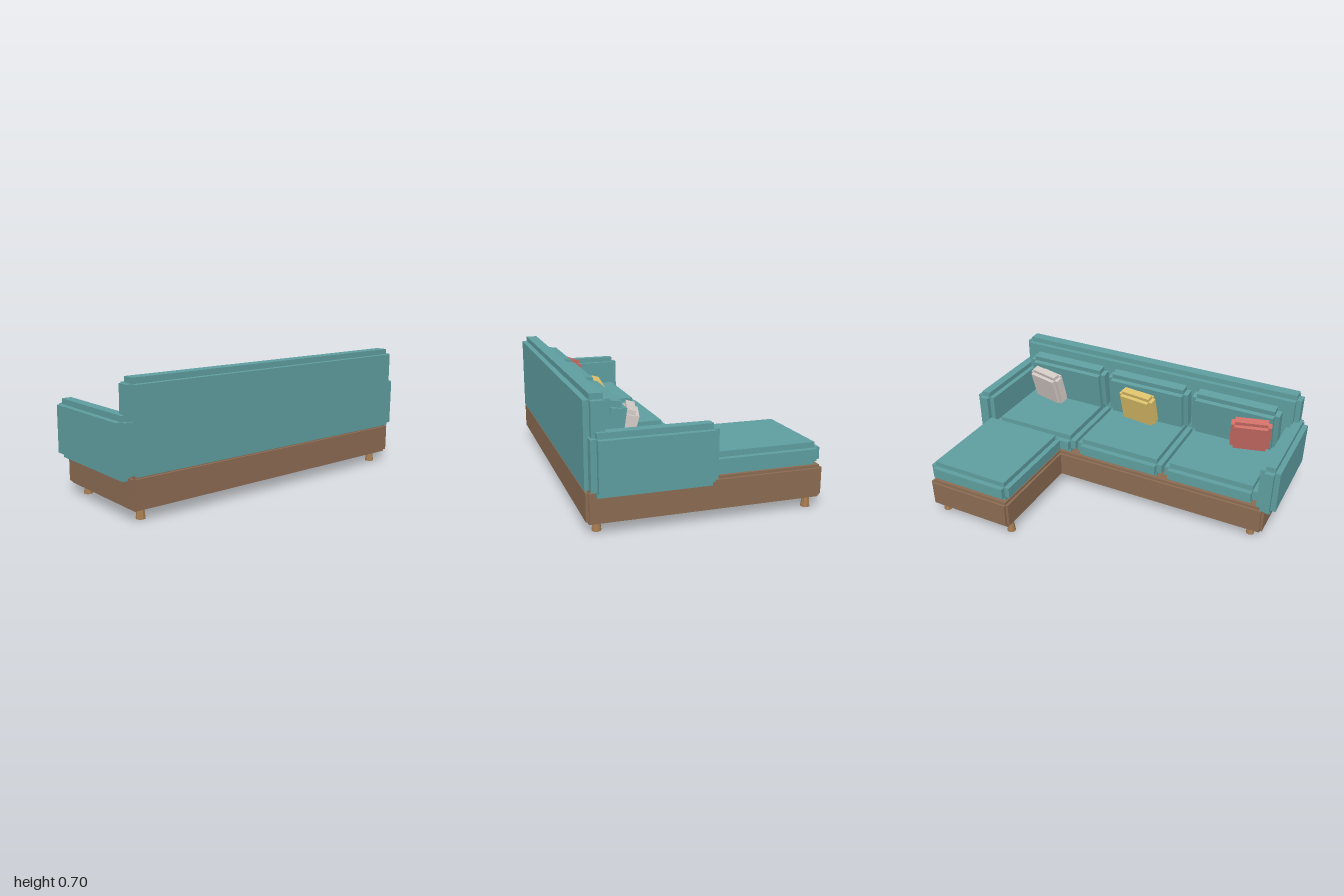
import * as THREE from 'three';
import { mergeGeometries } from 'three/addons/utils/BufferGeometryUtils.js';

const mat = (name, color) => {
  const m = new THREE.MeshStandardMaterial({ color });
  m.name = name;
  return m;
};

// Block with stepped edges: three crossed boxes, each full length on one axis
function steppedBlock(w, h, d, r) {
  const s = 2 * r;
  return mergeGeometries([
    new THREE.BoxGeometry(w, h - s, d - s),
    new THREE.BoxGeometry(w - s, h, d - s),
    new THREE.BoxGeometry(w - s, h - s, d),
  ]);
}

export function createModel() {
  const sofa = new THREE.Group();
  sofa.name = 'cornerSofa';

  const fabric = mat('teal fabric', 0x5f9ea0);
  const wood = mat('brown wood', 0x8b6b52);
  const legWood = mat('light wood', 0xa67c52);
  const red = mat('red fabric', 0xcd6f66);
  const yellow = mat('yellow fabric', 0xdcc06a);
  const grey = mat('pale grey fabric', 0xd3cac6);

  function add(name, geometry, material, x, y, z) {
    const mesh = new THREE.Mesh(geometry, material);
    mesh.name = name;
    mesh.position.set(x, y, z);
    sofa.add(mesh);
    return mesh;
  }

  // Block given by its limits on each axis
  function block(name, material, [x0, x1], [y0, y1], [z0, z1], r) {
    return add(name, steppedBlock(x1 - x0, y1 - y0, z1 - z0, r), material,
      (x0 + x1) / 2, (y0 + y1) / 2, (z0 + z1) / 2);
  }

  // L-shaped base
  block('mainBase', wood, [-0.94, 0.935], [0.06, 0.235], [-0.015, 0.627], 0.015);
  block('chaiseBase', wood, [0.39, 0.935], [0.06, 0.235], [-0.63, 0.04], 0.015);

  // Backrest and arms
  block('backrest', fabric, [-0.95, 0.946], [0.2, 0.698], [0.503, 0.63], 0.03);
  for (const [name, side] of [['leftArm', 1], ['rightArm', -1]]) {
    const arm = block(name, fabric, [0.886, 1], [0.207, 0.523], [-0.028, 0.61], 0.03);
    arm.position.x *= side;
  }

  // Seat cushions
  const seats = [[-0.885, -0.308], [-0.29, 0.282], [0.302, 0.885]];
  for (const span of seats) {
    block('seatCushion', fabric, span, [0.23, 0.355], [-0.012, 0.56], 0.033);
  }
  block('chaiseCushion', fabric, [0.39, 0.934], [0.23, 0.355], [-0.62, 0.012], 0.03);

  // Tilted back cushions
  for (const x of [-0.583, -0.004, 0.577]) {
    const cushion = add('backCushion', steppedBlock(0.55, 0.3, 0.12, 0.03), fabric, x, 0.482, 0.467);
    cushion.rotation.x = -0.15;
  }

  // Throw pillows, each turned a little differently
  const pillows = [
    ['redPillow', red, -0.71, 0.373, 0.25],
    ['yellowPillow', yellow, 0.03, 0.372, -0.13],
    ['greyPillow', grey, 0.69, 0.362, -0.25],
  ];
  for (const [name, material, x, z, yaw] of pillows) {
    const pillow = add(name, steppedBlock(0.24, 0.22, 0.09, 0.022), material, x, 0.465, z);
    pillow.rotation.set(-0.25, yaw, 0, 'YXZ');
  }

  // Legs, flared towards the floor
  const legGeometry = new THREE.CylinderGeometry(0.017, 0.025, 0.07, 8).toNonIndexed();
  legGeometry.computeVertexNormals();
  const legs = [[-0.86, 0.56], [-0.86, 0.053], [0.85, 0.56], [0.415, -0.565], [0.883, -0.565]];
  for (const [x, z] of legs) add('leg', legGeometry, legWood, x, 0.035, z);

  return sofa;
}
